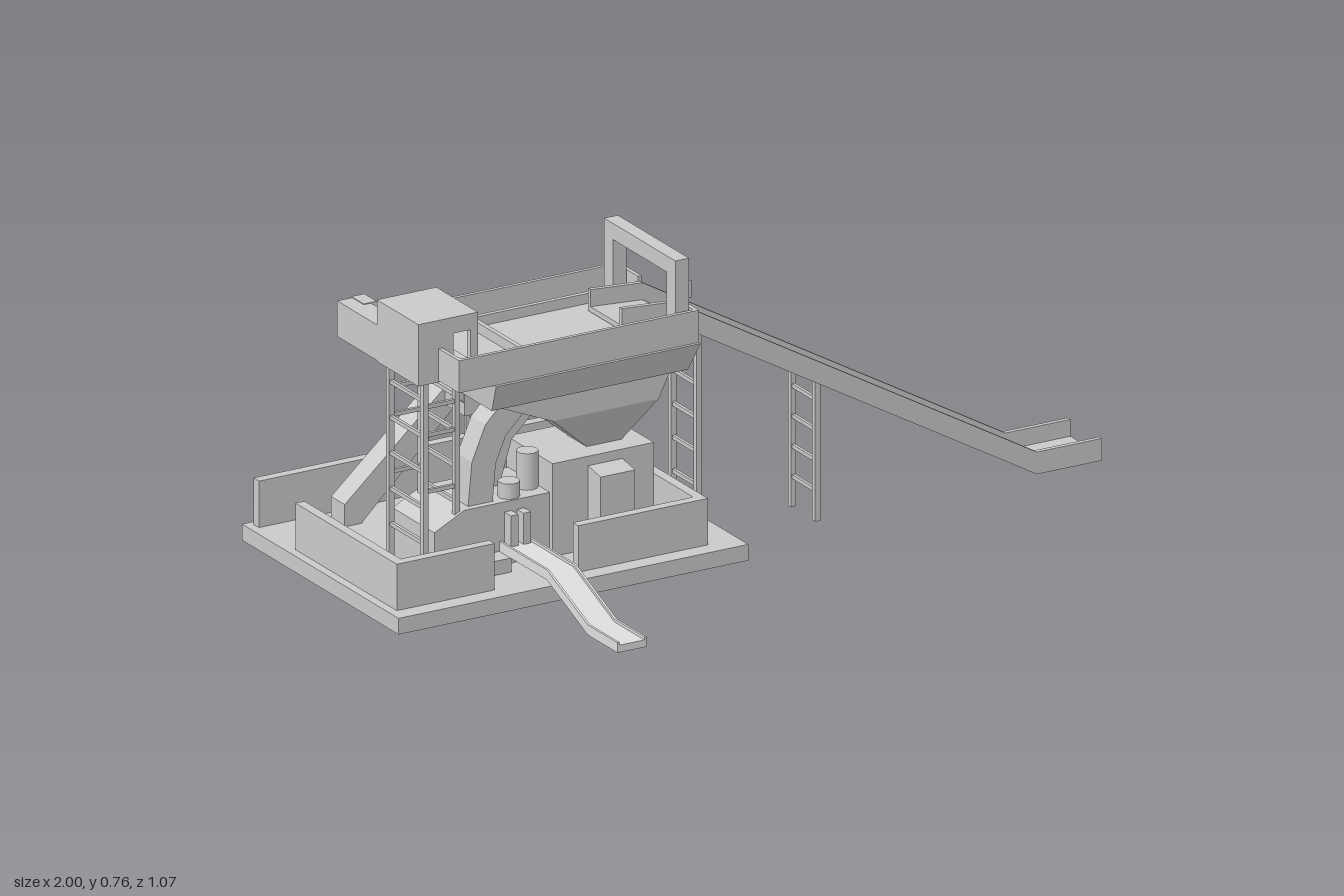
import * as THREE from 'three';

export function createModel() {
  const model = new THREE.Group();
  const grey = new THREE.MeshStandardMaterial({ color: 0xcacaca });
  grey.name = 'concrete grey';
  const pale = new THREE.MeshStandardMaterial({ color: 0xdedede });
  pale.name = 'pale grey';

  function add(name, geo, mat = grey) {
    const m = new THREE.Mesh(geo, mat);
    m.name = name;
    model.add(m);
  }
  // Box given by its limits
  function box(name, x0, x1, y0, y1, z0, z1) {
    const g = new THREE.BoxGeometry(x1 - x0, y1 - y0, z1 - z0);
    g.translate((x0 + x1) / 2, (y0 + y1) / 2, (z0 + z1) / 2);
    add(name, g);
  }
  // Box whose bottom and top rectangles [x0, x1, z0, z1] differ
  function taper(name, y0, a, y1, b) {
    const g = new THREE.BoxGeometry(1, 1, 1);
    const p = g.attributes.position;
    for (let i = 0; i < p.count; i++) {
      const top = p.getY(i) > 0, r = top ? b : a;
      p.setXYZ(i, p.getX(i) > 0 ? r[1] : r[0], top ? y1 : y0, p.getZ(i) > 0 ? r[3] : r[2]);
    }
    g.computeVertexNormals();
    add(name, g);
  }
  // Outline extruded sideways: along z, or along x when the outline is in (z, y)
  const outline = pts => new THREE.Shape(pts.map(p => new THREE.Vector2(p[0], p[1])));
  function slab(name, pts, a, b, alongX = false, mat = grey) {
    const g = new THREE.ExtrudeGeometry(outline(pts), { depth: b - a, bevelEnabled: false });
    g.translate(0, 0, alongX ? -b : a);
    if (alongX) g.rotateY(-Math.PI / 2);
    add(name, g, mat);
  }
  // U-shaped trough following the underside path: side height h, floor f, side thickness t
  function channel(name, path, h, f, t, a, b, alongX = false, mat = grey) {
    const band = d => [...path, ...path.map(p => [p[0], p[1] + d]).reverse()];
    slab(name + 'Floor', band(f), a + t, b - t, alongX, mat);
    slab(name + 'SideA', band(h), a, a + t, alongX, mat);
    slab(name + 'SideB', band(h), b - t, b, alongX, mat);
  }
  // Two posts joined by rungs
  function trestle(name, x, y0, y1, z0, z1, rungs) {
    const r = 0.007;
    for (const z of [z0, z1]) box(name + 'Post', x - r, x + r, y0, y1, z - r, z + r);
    for (let i = 1; i <= rungs; i++) {
      const y = y0 + (y1 - y0) * i / (rungs + 0.6);
      box(name + 'Rung', x - 0.004, x + 0.004, y - 0.005, y + 0.005, z0, z1);
    }
  }

  // Perimeter wall, with gaps for the chute and the return conveyor
  const slotted = [
    ['leftWall', -0.978, -0.953, -0.33, 0.105],
    ['frontWallLeft', -0.978, -0.715, 0.105, 0.13],
    ['frontWallRight', -0.49, -0.142, 0.105, 0.13],
  ];
  for (const [name, x0, x1, z0, z1] of slotted) box(name, x0, x1, 0.065, 0.18, z0, z1);
  box('backWall', -0.978, -0.142, 0.065, 0.18, -0.52, -0.495);
  box('rightWall', -0.167, -0.142, 0.065, 0.18, -0.495, 0.105);

  // Base plate, cut out from below under the walls and houses
  const rect = (x0, x1, z0, z1) => [[x0, z0], [x1, z0], [x1, z1], [x0, z1]];
  const plate = outline(rect(-1, -0.06, -0.535, 0.175));
  for (const [, x0, x1, z0, z1] of slotted)
    plate.holes.push(outline(rect(x0 + 0.004, x1 - 0.004, z0 + 0.004, z1 - 0.004)));
  for (const x of [-0.32, -0.48, -0.65]) plate.holes.push(outline(rect(x - 0.045, x + 0.045, -0.155, -0.07)));
  const plateGeo = new THREE.ExtrudeGeometry(plate, { depth: 0.04, bevelEnabled: false });
  plateGeo.rotateX(Math.PI / 2).translate(0, 0.065, 0);
  add('basePlate', plateGeo);

  // Machine house under the hopper, with a sloped hood on each side
  box('machineHouse', -0.49, -0.218, 0.065, 0.295, -0.195, 0.013);
  slab('frontHood', [[0.01, 0.065], [0.07, 0.065], [0.07, 0.262], [0.01, 0.272]], -0.395, -0.302, true);
  slab('backHood', [[-0.19, 0.272], [-0.25, 0.262], [-0.25, 0.065], [-0.19, 0.065]], -0.395, -0.302, true);
  slab('lowHouse', [[-0.8, 0.18], [-0.8, 0.065], [-0.49, 0.065], [-0.49, 0.22], [-0.72, 0.22]], -0.19, 0);
  box('pumpBox', -0.715, -0.622, 0.065, 0.1, 0, 0.05);
  for (const [x, z, h] of [[-0.582, -0.03, 0.258], [-0.515, -0.06, 0.31]]) {
    const g = new THREE.CylinderGeometry(0.026, 0.026, h - 0.2, 12);
    g.translate(x, (h + 0.2) / 2, z);
    add('motor', g);
  }
  // Outlet posts over the delivery chute
  for (const x of [-0.612, -0.578]) box('outletPost', x, x + 0.02, 0.11, 0.195, 0, 0.03);

  // Hopper: flared rim, sloping body and pyramid spout
  taper('hopperRim', 0.485, [-0.69, -0.163, -0.245, 0.075], 0.555, [-0.695, -0.145, -0.275, 0.103]);
  taper('hopperBody', 0.4, [-0.49, -0.205, -0.185, 0.013], 0.485, [-0.69, -0.163, -0.185, 0.013]);
  taper('hopperSpout', 0.29, [-0.36, -0.275, -0.125, -0.045], 0.4, [-0.49, -0.205, -0.185, 0.013]);

  // Deck, parapet and raised kerb round the grate
  box('deck', -0.79, -0.145, 0.555, 0.575, -0.27, 0.095);
  box('frontParapet', -0.79, -0.145, 0.575, 0.635, 0.085, 0.095);
  box('backParapet', -0.79, -0.145, 0.575, 0.635, -0.27, -0.26);
  box('leftParapet', -0.79, -0.78, 0.575, 0.635, 0, 0.085);
  box('rightParapetFront', -0.155, -0.145, 0.575, 0.635, -0.01, 0.085);
  box('rightParapetBack', -0.155, -0.145, 0.575, 0.635, -0.26, -0.165);
  for (const z of [-0.22, 0.03]) box('kerbLong', -0.58, -0.145, 0.575, 0.6, z, z + 0.012);
  box('kerbEnd', -0.58, -0.568, 0.575, 0.6, -0.22, 0.042);

  // Drive cabin, open towards the deck
  box('cabinRoof', -0.845, -0.685, 0.665, 0.705, -0.185, 0.003);
  box('cabinBack', -0.845, -0.83, 0.555, 0.665, -0.185, 0.003);
  for (const z of [-0.185, -0.012]) {
    box('cabinWall', -0.83, -0.75, 0.555, 0.665, z, z + 0.015);
    box('cabinPost', -0.705, -0.685, 0.555, 0.665, z, z + 0.015);
  }
  box('cabinFloor', -0.845, -0.685, 0.552, 0.577, -0.185, 0.003);

  // Arch over the conveyor head, with a switch box
  for (const z of [-0.248, 0.035]) box('archLeg', -0.197, -0.16, 0.575, 0.72, z, z + 0.04);
  box('archBeam', -0.197, -0.16, 0.72, 0.76, -0.248, 0.075);
  box('switchBox', -0.16, -0.148, 0.657, 0.7, 0.047, 0.065);

  // Long loading conveyor and its trestles
  channel('conveyor', [[-0.29, 0.577], [-0.15, 0.567], [0.825, 0.005], [1, 0.005]], 0.055, 0.013, 0.012, -0.165, -0.01);
  trestle('middleTrestle', 0.241, 0, 0.345, -0.135, -0.025, 4);
  trestle('deckTrestle', -0.075, 0.065, 0.53, -0.145, -0.03, 5);
  for (const x of [-0.818, -0.733]) trestle('cabinTrestle', x, 0.065, 0.557, -0.17, -0.015, 5);
  for (const z of [-0.17, -0.015]) for (const y of [0.28, 0.42, 0.49])
    box('cabinBrace', -0.818, -0.733, y - 0.005, y + 0.005, z - 0.004, z + 0.004);

  // Small delivery chute at the front
  channel('deliveryChute', [[0, 0.1], [0.215, 0.1], [0.4, 0.025], [0.535, 0.025]], 0.025, 0.018, 0.006,
    -0.625, -0.547, true, pale);

  // Enclosed return conveyors behind the hopper, joined by a transfer box
  box('crossConveyor', -0.845, -0.785, 0.555, 0.643, -0.365, -0.185);
  slab('upperConveyor', [[-0.805, 0.555], [-0.77, 0.555], [-0.51, 0.325], [-0.51, 0.405], [-0.77, 0.645],
    [-0.805, 0.645]], -0.368, -0.312);
  box('transferBox', -0.535, -0.478, 0.315, 0.412, -0.46, -0.31);
  slab('lowerConveyor', [[-0.805, 0.065], [-0.76, 0.065], [-0.5, 0.315], [-0.5, 0.39], [-0.805, 0.12]],
    -0.46, -0.398);
  box('transferLeg', -0.512, -0.502, 0.065, 0.315, -0.352, -0.342);

  // Jointed discharge ducts from hopper to low house
  function duct(name, pts, w, z) {
    const edge = s => pts.map((p, i) => {
      const a = pts[Math.max(i - 1, 0)], b = pts[Math.min(i + 1, pts.length - 1)];
      const l = Math.hypot(b[0] - a[0], b[1] - a[1]);
      return [p[0] - s * w * (b[1] - a[1]) / l, p[1] + s * w * (b[0] - a[0]) / l];
    });
    slab(name, [...edge(1), ...edge(-1).reverse()], z - w, z + w);
  }
  duct('curvedDuct', [[-0.57, 0.45], [-0.625, 0.395], [-0.657, 0.32], [-0.667, 0.21]], 0.033, -0.05);
  duct('shortDuct', [[-0.5, 0.4], [-0.56, 0.34], [-0.6, 0.21]], 0.03, -0.13);

  return model;
}
